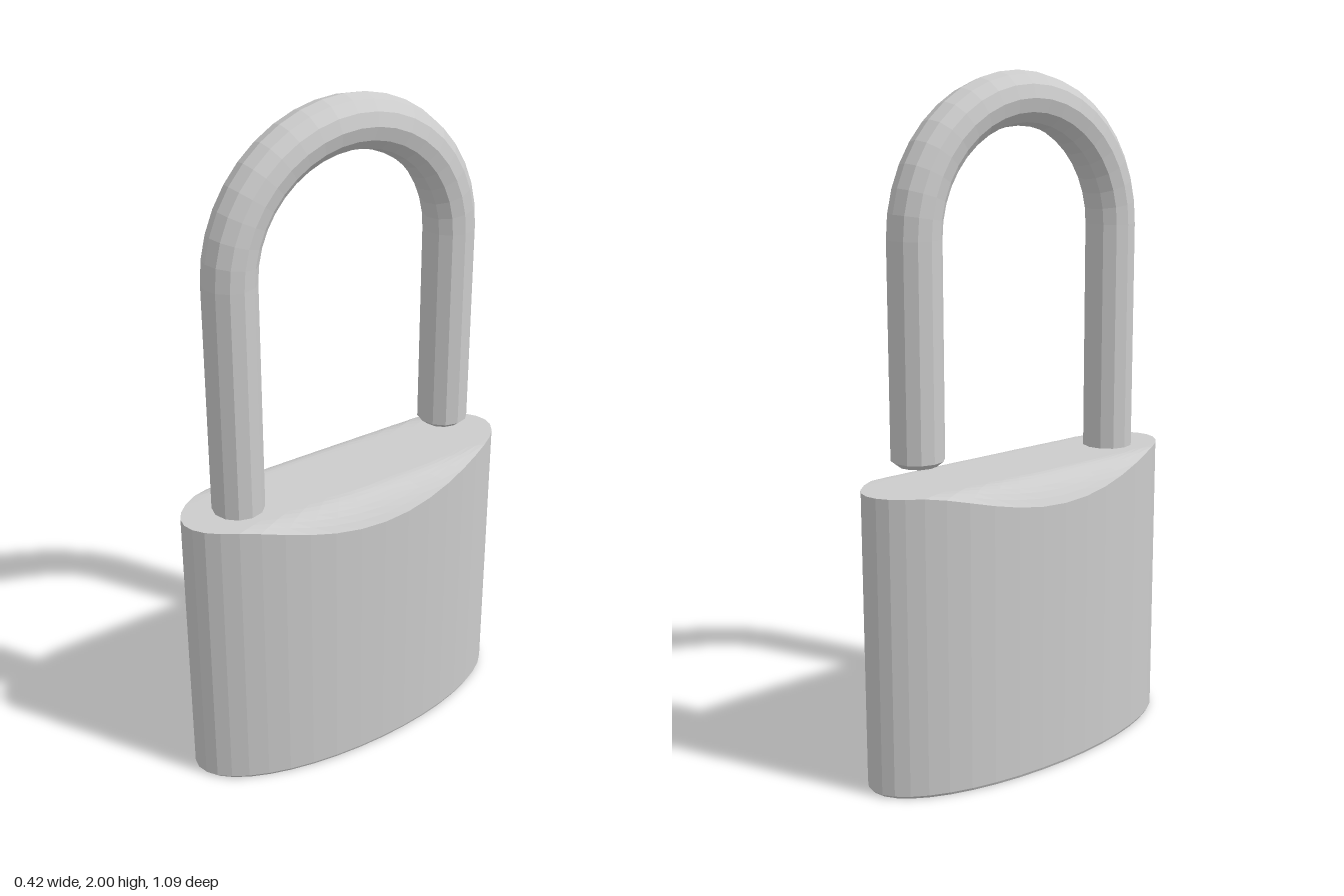
import * as THREE from 'three';

const HALF_X = 0.21, HALF_Z = 0.543, TOP = 0.877;
const BAR = 0.076, BEND = 0.367, BEND_Y = 1.557, SIDES = 12;

// Height of the crown: flat in the middle, rolling down towards the broad sides
function crownHeight(x) {
  const t = Math.max(0, (Math.abs(x) - 0.11) / (HALF_X - 0.11));
  return TOP - 0.076 * Math.pow(t, 2.2);
}

export function createModel() {
  const group = new THREE.Group();
  const material = new THREE.MeshStandardMaterial({ color: 0xcccccc, flatShading: true });

  const add = (geometry, name, parent = group) => {
    const mesh = new THREE.Mesh(geometry, material);
    mesh.name = name;
    parent.add(mesh);
    return mesh;
  };

  // Oval body: a unit lathe squashed to an ellipse, its top draped over the crown
  const profile = [[0, 0], [0.985, 0], [1, 0.008], [1, 1]].map(p => new THREE.Vector2(...p));
  for (let i = 15; i >= 0; i--) profile.push(new THREE.Vector2(i / 16, 1));
  const body = new THREE.LatheGeometry(profile, 40);
  const pos = body.attributes.position;
  for (let i = 0; i < pos.count; i++) {
    const x = pos.getX(i) * HALF_X, y = pos.getY(i);
    pos.setXYZ(i, x, y > 0.5 ? crownHeight(x) : y, pos.getZ(i) * HALF_Z);
  }
  body.computeVertexNormals();
  add(body, 'body');

  // Shackle: half-ring bend, long leg sunk in the body, short free leg with a chamfered tip
  const shackle = new THREE.Group();
  shackle.name = 'shackle';
  group.add(shackle);

  const bend = add(new THREE.TorusGeometry(BEND, BAR, SIDES, 20, Math.PI), 'shackleBend', shackle);
  bend.rotation.y = Math.PI / 2;
  bend.position.y = BEND_Y;

  const addLeg = (z, bottom, name) => {
    const length = BEND_Y - bottom;
    const leg = add(new THREE.CylinderGeometry(BAR, BAR, length, SIDES, 1, true), name, shackle);
    leg.position.set(0, bottom + length / 2, z);
  };
  addLeg(BEND, 0.84, 'fixedLeg');
  addLeg(-BEND, 0.95, 'freeLeg');

  const tip = add(new THREE.CylinderGeometry(BAR, 0.056, 0.016, SIDES), 'freeLegTip', shackle);
  tip.position.set(0, 0.942, -BEND);

  return group;
}
